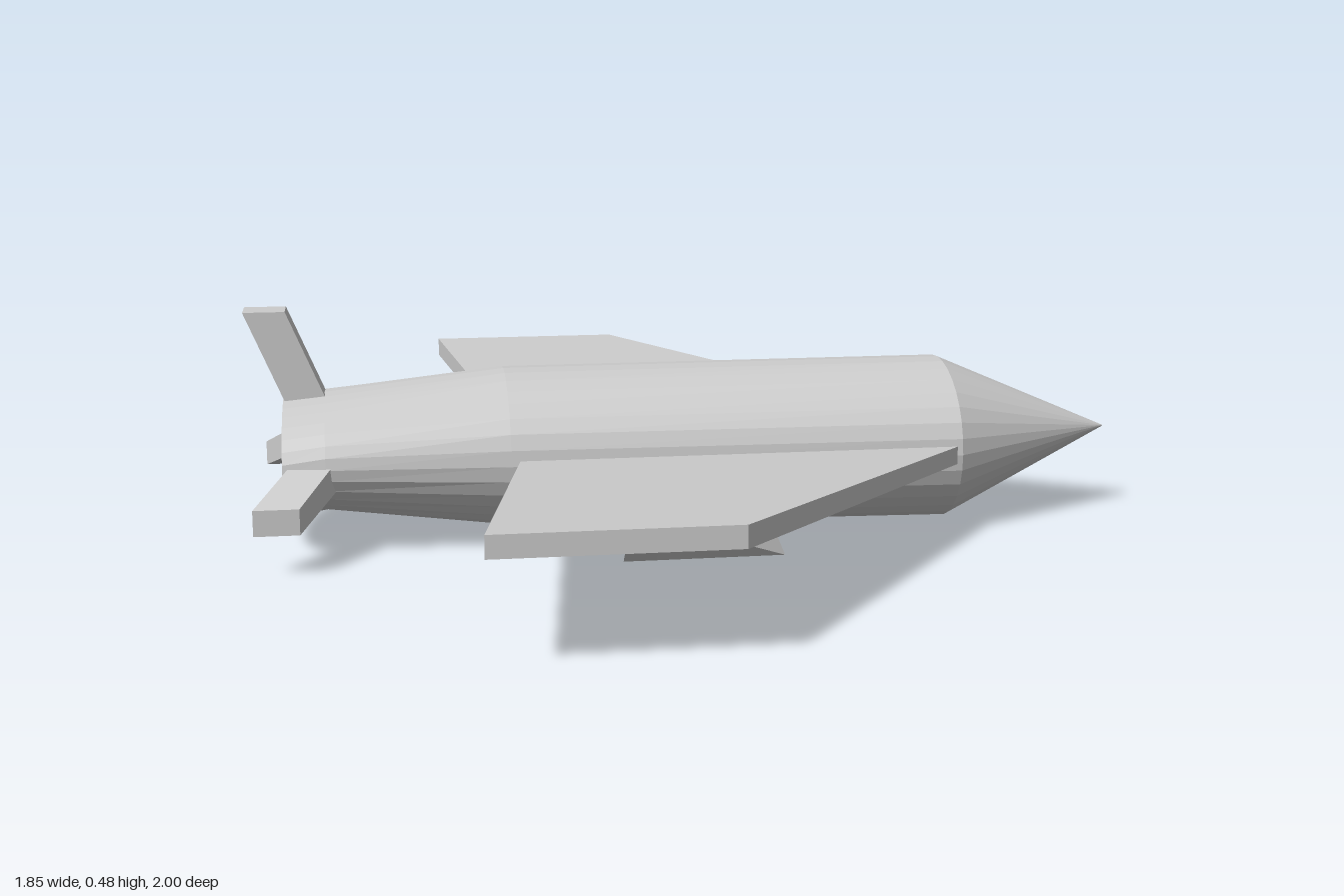
import * as THREE from 'three';

const material = new THREE.MeshStandardMaterial({ color: 0xcccccc, flatShading: true, side: THREE.DoubleSide });

// Skins a list of closed cross-sections (arrays of [x, y, z]) and caps both ends, facing outward.
function loft(sections) {
  const n = sections[0].length;
  const tris = [];
  const tri = (a, b, c) => tris.push([a, b, c]);
  for (let s = 0; s < sections.length - 1; s++) {
    const A = sections[s], B = sections[s + 1];
    for (let i = 0; i < n; i++) {
      const j = (i + 1) % n;
      tri(A[i], A[j], B[j]);
      tri(A[i], B[j], B[i]);
    }
  }
  const first = sections[0], last = sections[sections.length - 1];
  for (let i = 1; i < n - 1; i++) {
    tri(first[0], first[i + 1], first[i]);
    tri(last[0], last[i], last[i + 1]);
  }
  // The sign of the enclosed volume tells whether the skin is inside out
  let volume = 0;
  for (const [a, b, c] of tris) {
    volume += new THREE.Vector3(...a).dot(new THREE.Vector3(...b).cross(new THREE.Vector3(...c)));
  }
  const ordered = volume < 0 ? tris.map(([a, b, c]) => [a, c, b]) : tris;
  const geometry = new THREE.BufferGeometry();
  geometry.setAttribute('position', new THREE.Float32BufferAttribute(ordered.flat(2), 3));
  geometry.computeVertexNormals();
  return geometry;
}

// Elliptical fuselage ring at x, between a lower and an upper height
function ring(x, low, high, halfWidth, sides = 32) {
  return Array.from({ length: sides }, (_, i) => {
    const a = (i / sides) * Math.PI * 2;
    return [x, (low + high) / 2 + Math.sin(a) * (high - low) / 2, Math.cos(a) * halfWidth];
  });
}

// Four-cornered section of a wing or fin: rear and front x, lower and upper y, at z
const slab = (rear, front, low, high, z) => [
  [rear, low, z], [front, low, z], [front, high, z], [rear, high, z],
];

export function createModel() {
  const model = new THREE.Group();
  const add = (name, sections, parent = model) => {
    const mesh = new THREE.Mesh(loft(sections), material);
    mesh.name = name;
    parent.add(mesh);
  };

  // Fuselage with a flat tail, and the pointed nose
  const shoulder = ring(0.54, 0.0, 0.345, 0.217);
  add('fuselage', [
    ring(-0.855, 0.05, 0.297, 0.215),
    ring(-0.77, 0.065, 0.305, 0.216),
    ring(-0.4, 0.015, 0.345, 0.217),
    shoulder,
  ]);
  add('noseCone', [shoulder, ring(0.92, 0.179, 0.181, 0.001)]);

  // Upright tail fin, swept back
  const finSection = (rear, front, y) => [
    [rear, y, -0.04], [front, y, -0.04], [front, y, 0.04], [rear, y, 0.04],
  ];
  add('topFin', [finSection(-0.82, -0.735, 0.22), finSection(-0.93, -0.845, 0.48)]);

  // Mirrored sides: swept wing, underwing pylon and drooping tail fin
  for (const [name, side] of [['leadingSide', 1], ['oppositeSide', -1]]) {
    const group = new THREE.Group();
    group.name = name;
    model.add(group);
    const mirror = (sections) => sections.map((s) => s.map(([x, y, z]) => [x, y, z * side]));

    add('wing', mirror([
      slab(-0.38, 0.54, 0.153, 0.19, 0.2),
      slab(-0.5, -0.06, 0.205, 0.247, 1),
    ]), group);

    // Pylon: inner face to the smaller outer face, the top buried in the wing
    add('pylon', mirror([
      [[-0.17, 0.06, 0.525], [0.1, 0.06, 0.525], [0.06, 0.175, 0.445], [-0.17, 0.175, 0.445]],
      [[-0.23, 0.1, 0.67], [-0.17, 0.1, 0.67], [-0.17, 0.195, 0.77], [-0.23, 0.195, 0.77]],
    ]), group);

    add('lowerFin', mirror([
      slab(-0.82, -0.735, 0.15, 0.21, 0.17),
      slab(-0.91, -0.82, 0.083, 0.135, 0.323),
    ]), group);
  }
  return model;
}
